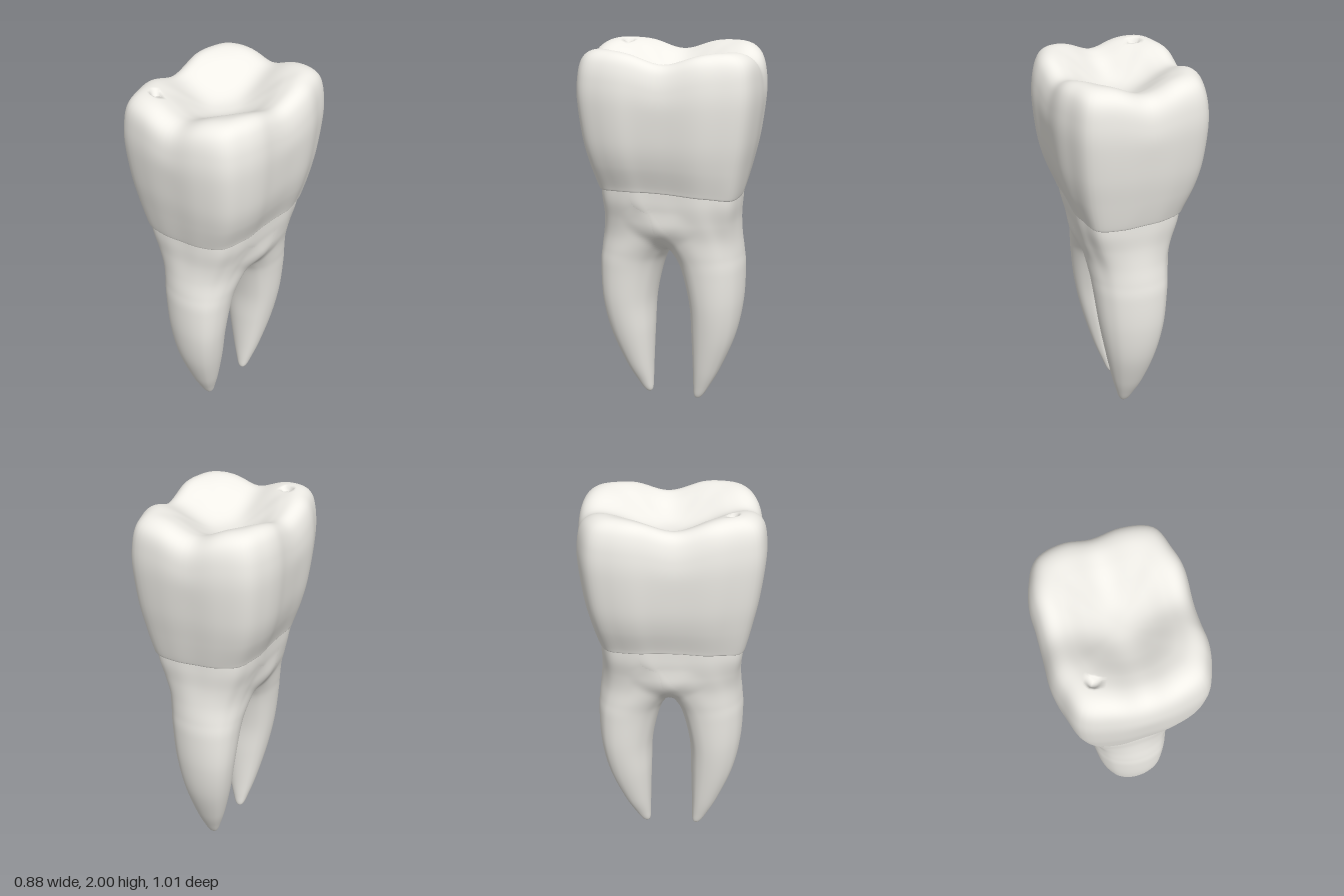
import * as THREE from 'three';
import { mergeVertices } from 'three/addons/utils/BufferGeometryUtils.js';

const SEGMENTS = 112;
const { lerp, smoothstep } = THREE.MathUtils;
const material = new THREE.MeshStandardMaterial({ color: 0xf0eee8 });

// Stretch an outline so it spans -1..1 in both directions
function normalise(points) {
  const box = new THREE.Box2().setFromPoints(points);
  return points.map((p) => new THREE.Vector2(p.x / box.max.x, p.y / box.max.y));
}

// Skewed four-cornered outline (x, z); the second half is the first turned by 180 degrees
const half = [[-0.17, 0.5], [0, 0.5], [0.16, 0.455], [0.3, 0.405], [0.42, 0.315], [0.44, 0.2], [0.432, 0.1],
  [0.4, 0], [0.36, -0.14], [0.315, -0.3], [0.26, -0.39]];
const corners = [...half, ...half.map(([x, z]) => [-x, -z])].map(([x, z]) => new THREE.Vector3(x, 0, z));
const curve = new THREE.CatmullRomCurve3(corners, true);
const outline = normalise(Array.from({ length: SEGMENTS }, (_, i) => {
  const p = curve.getPoint(i / SEGMENTS);
  return new THREE.Vector2(p.x, p.z);
}));

// Rounder version for the roots
const oval = normalise(outline.map((p) => p.clone().lerp(p.clone().normalize(), 0.8)));

// Skin a stack of closed rings, listed from the bottom up; ringAt returns SEGMENTS points
function loft(ringCount, ringAt) {
  const positions = [];
  const index = [];
  for (let r = 0; r < ringCount; r++) {
    ringAt(r / (ringCount - 1)).forEach((p, i) => {
      positions.push(...p);
      if (r === ringCount - 1) return;
      const a = r * SEGMENTS + i;
      const b = r * SEGMENTS + (i + 1) % SEGMENTS;
      index.push(a, b, b + SEGMENTS, a, b + SEGMENTS, a + SEGMENTS);
    });
  }
  const geometry = new THREE.BufferGeometry();
  geometry.setAttribute('position', new THREE.Float32BufferAttribute(positions, 3));
  geometry.setIndex(index);
  const merged = mergeVertices(geometry, 1e-4);
  merged.computeVertexNormals();
  return merged;
}

// Depth of the chewing surface below the cusp tips: crossing grooves, central fossa, small pit
function hollow(x, z) {
  const p = 0.95 * x - 0.31 * z;
  const q = 0.31 * x + 0.95 * z;
  const along = Math.exp(-((p / 0.115) ** 2));
  const across = Math.exp(-((q / 0.14) ** 2));
  const groove = 1 - (1 - along) * (1 - across);
  const fossa = Math.exp(-(p * p / 0.04 + q * q / 0.055));
  const pit = 1 - smoothstep(Math.hypot(x + 0.11, z - 0.34), 0.012, 0.036);
  return 0.055 * groove + 0.065 * fossa + 0.035 * pit;
}

// Crown: wall profile of (x scale, z scale, height), rolling over onto the chewing surface
function crownGeometry() {
  const profile = new THREE.CatmullRomCurve3([
    [0.69, 0.775, 1.245], [0.735, 0.81, 1.24], [0.765, 0.835, 1.27], [0.875, 0.895, 1.4], [0.955, 0.955, 1.55],
    [1, 1, 1.74], [0.985, 0.995, 1.86], [0.935, 0.96, 1.94], [0.86, 0.88, 1.984],
    [0.75, 0.76, 2.002], [0.6, 0.6, 1.995], [0.4, 0.4, 1.975], [0.2, 0.2, 1.965], [0, 0, 1.965],
  ].map((p) => new THREE.Vector3(...p)), false, 'catmullrom', 0.5);
  return loft(130, (t) => {
    const s = profile.getPoint(t);
    return outline.map((o) => {
      const x = o.x * 0.44 * s.x;
      const z = o.y * 0.505 * s.y;
      const gumRise = 0.035 * (1 - smoothstep(s.z, 1.25, 1.55)) * Math.max(0, 1 - (z / 0.41) ** 2);
      return [x, s.z + gumRise - smoothstep(s.z, 1.6, 1.96) * hollow(x, z), z];
    });
  });
}

// Distance from the axis to the far side of a ring, in direction d (0 if missed)
function reach(d, ring) {
  let far = 0;
  ring.forEach((a, i) => {
    const b = ring[(i + 1) % SEGMENTS];
    const ca = d.cross(a);
    const cb = d.cross(b);
    if ((ca <= 0) !== (cb <= 0)) far = Math.max(far, a.cross(b) / (cb - ca));
  });
  return far;
}

// Melt a ring into its half-turned twin, leaving a soft valley where the two meet
function meltIntoTwin(ring, y) {
  const twin = ring.map((p) => p.clone().negate());
  const fillet = 0.001 + 0.12 * (1 - smoothstep(y, 1.02, 1.2));
  return ring.map((p) => {
    const own = p.length();
    const d = p.clone().normalize();
    const other = reach(d, twin);
    if (other === 0) return p;
    const h = Math.max(fillet - Math.abs(own - other), 0) / fillet;
    const melted = Math.max(own, other) + h * h * fillet / 4;
    const ownSide = smoothstep(0.31 * d.x + 0.95 * d.y, -0.5, -0.25);
    return d.multiplyScalar(lerp(own, melted, ownSide));
  });
}

// Root: rows of (height, x min, x max, z min, z max); at the neck it fills the whole trunk
function rootGeometry() {
  const rows = [
    [0, 0.026, 0.028, 0.139, 0.141], [0.018, 0.004, 0.052, 0.122, 0.168], [0.08, -0.014, 0.083, 0.117, 0.206],
    [0.2, -0.042, 0.135, 0.113, 0.266], [0.4, -0.08, 0.198, 0.105, 0.342], [0.6, -0.115, 0.238, 0.097, 0.38],
    [0.8, -0.145, 0.254, 0.053, 0.39], [0.9, -0.165, 0.257, 0, 0.385], [1, -0.2, 0.262, -0.1, 0.38],
    [1.1, -0.255, 0.28, -0.23, 0.385], [1.2, -0.3, 0.305, -0.36, 0.4], [1.3, -0.318, 0.318, -0.405, 0.405],
  ];
  const smooth = (f) => new THREE.CatmullRomCurve3(rows.map(f), false, 'catmullrom', 0.5);
  const xRange = smooth(([y, a, b]) => new THREE.Vector3(a, b, y));
  const zRange = smooth(([y, , , a, b]) => new THREE.Vector3(a, b, y));
  return loft(90, (t) => {
    const xs = xRange.getPoint(t);
    const zs = zRange.getPoint(t);
    const y = xs.z;
    const squareness = smoothstep(y, 0.9, 1.25);
    const ring = oval.map((o, i) => {
      const u = o.clone().lerp(outline[i], squareness);
      return new THREE.Vector2(
        (xs.x + xs.y) / 2 + u.x * (xs.y - xs.x) / 2,
        (zs.x + zs.y) / 2 + u.y * (zs.y - zs.x) / 2,
      );
    });
    return (zs.x < 0 ? meltIntoTwin(ring, y) : ring).map((p) => [p.x, y, p.y]);
  });
}

export function createModel() {
  const tooth = new THREE.Group();
  tooth.name = 'tooth';
  const add = (name, geometry, turn = 0) => {
    const mesh = new THREE.Mesh(geometry, material);
    mesh.name = name;
    mesh.rotation.y = turn;
    tooth.add(mesh);
  };
  add('crown', crownGeometry());

  // The back root is the front root turned half way round
  const root = rootGeometry();
  add('frontRoot', root);
  add('backRoot', root, Math.PI);
  return tooth;
}
